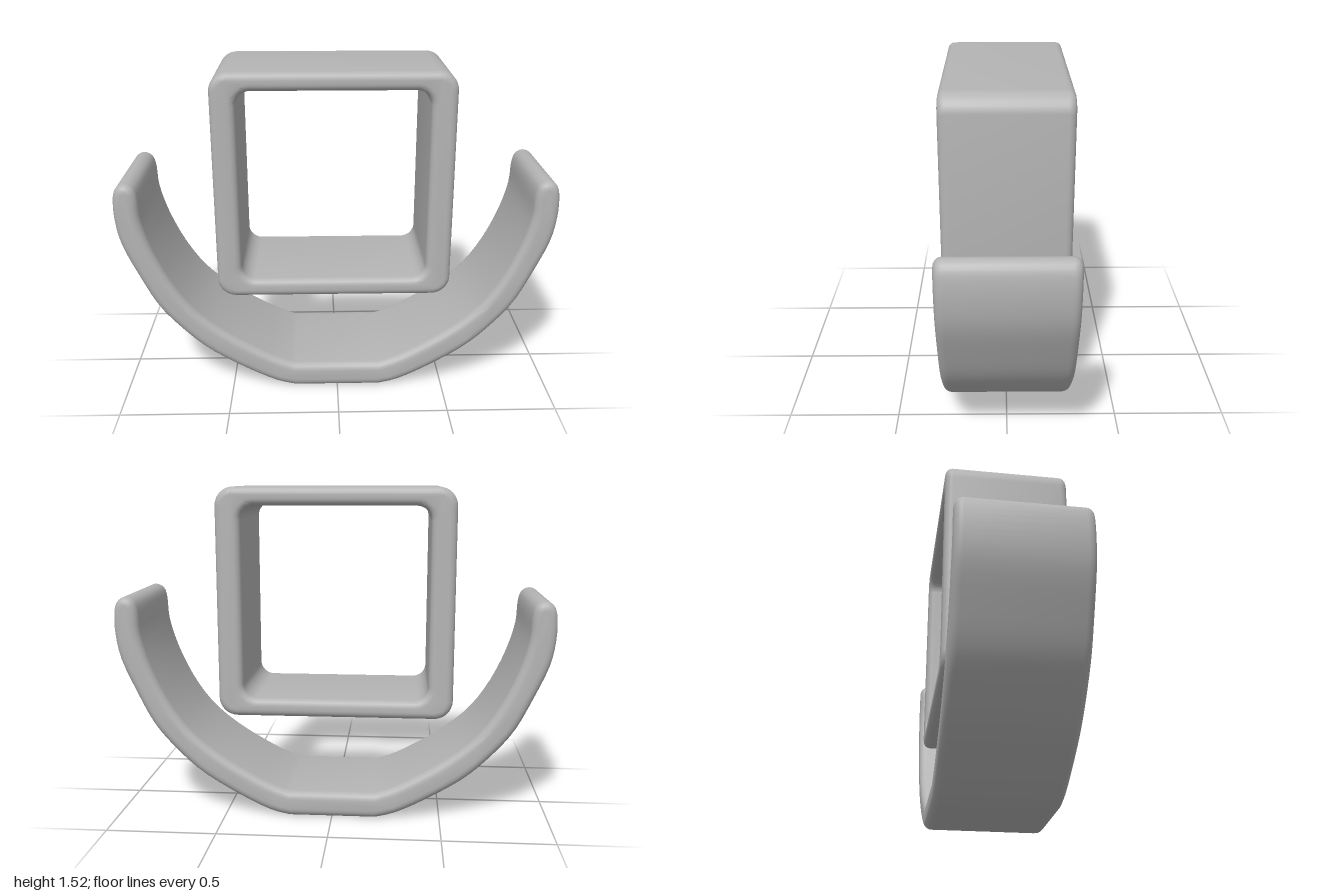
import * as THREE from 'three';
import { mergeVertices, toCreasedNormals } from 'three/addons/utils/BufferGeometryUtils.js';

const HALF_DEPTH = 0.28;

// Draws a rounded rectangle onto a Shape or Path
function roundedRect(path, x0, y0, x1, y1, r) {
  path.absarc(x1 - r, y0 + r, r, -Math.PI / 2, 0);
  path.absarc(x1 - r, y1 - r, r, 0, Math.PI / 2);
  path.absarc(x0 + r, y1 - r, r, Math.PI / 2, Math.PI);
  path.absarc(x0 + r, y0 + r, r, Math.PI, Math.PI * 1.5);
  path.closePath();
  return path;
}

// Extrudes along z with rounded rims kept inside the outline
function extrudeRounded(shape, bevel, curveSegments) {
  const geometry = new THREE.ExtrudeGeometry(shape, {
    depth: 2 * (HALF_DEPTH - bevel),
    bevelSize: bevel,
    bevelThickness: bevel,
    bevelOffset: -bevel,
    bevelSegments: 5,
    curveSegments,
  });
  geometry.translate(0, 0, bevel - HALF_DEPTH);
  geometry.deleteAttribute('uv');
  geometry.deleteAttribute('normal');
  return toCreasedNormals(mergeVertices(geometry, 1e-4), 0.7);
}

export function createModel() {
  const group = new THREE.Group();
  const grey = new THREE.MeshStandardMaterial({ color: 0xb4b4b4 });
  grey.name = 'grey';

  // Square open frame
  const frameShape = roundedRect(new THREE.Shape(), -0.55, 0.485, 0.52, 1.525, 0.085);
  frameShape.holes.push(roundedRect(new THREE.Path(), -0.438, 0.568, 0.406, 1.443, 0.065));
  const frame = new THREE.Mesh(extrudeRounded(frameShape, 0.032, 8), grey);
  frame.name = 'squareFrame';
  group.add(frame);

  // Curved cradle: right half of the outline, outer edge up to the tip, then inner edge down
  const half = [
    [0.2, 0.003], [0.3, 0.03], [0.45, 0.105], [0.61, 0.205], [0.73, 0.315], [0.83, 0.435],
    [0.91, 0.59], [0.975, 0.74], [0.998, 0.86], [0.998, 0.96], [0.982, 1.01], [0.945, 1.03],
    [0.905, 1.012], [0.888, 0.96], [0.88, 0.85], [0.835, 0.7], [0.755, 0.535], [0.65, 0.395],
    [0.5, 0.275], [0.31, 0.165], [0.2, 0.122],
  ];
  const mirrored = half.map(([x, y]) => [-x, y]).reverse();
  const toVec = ([x, y]) => new THREE.Vector2(x, y);
  const cradleShape = new THREE.Shape();
  cradleShape.moveTo(...half[0]);
  cradleShape.splineThru(half.slice(1).map(toVec));
  cradleShape.lineTo(...mirrored[0]);
  cradleShape.splineThru(mirrored.slice(1).map(toVec));
  cradleShape.closePath();
  const cradle = new THREE.Mesh(extrudeRounded(cradleShape, 0.036, 3), grey);
  cradle.name = 'curvedCradle';
  group.add(cradle);

  return group;
}
